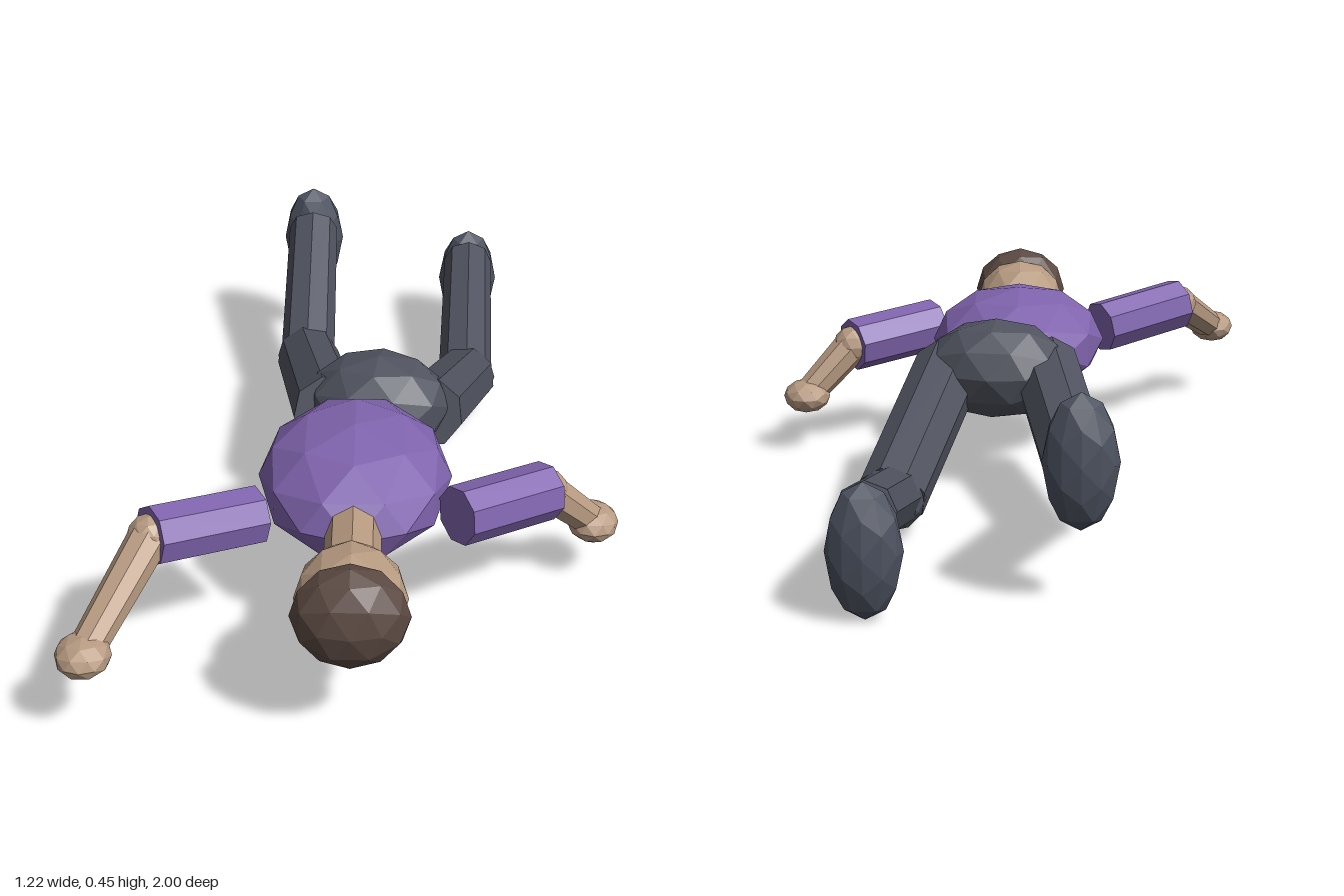
import * as THREE from 'three';

export function createModel() {
  const model = new THREE.Group();
  model.name = 'lyingFigure';

  const paint = (name, color) => {
    const m = new THREE.MeshStandardMaterial({ color, flatShading: true });
    m.name = name;
    return m;
  };
  const shirt = paint('purple shirt', 0x8064ae);
  const trousers = paint('slate trousers', 0x50535f);
  const shoes = paint('slate shoes', 0x4c5260);
  const skin = paint('skin', 0xb89b82);
  const hair = paint('brown hair', 0x5c4a43);
  const dark = paint('dark eyes', 0x2a2422);

  const add = (name, geometry, material) => {
    const mesh = new THREE.Mesh(geometry, material);
    mesh.name = name;
    model.add(mesh);
    return mesh;
  };

  // Faceted ellipsoid; its pole is laid along z unless upright
  const blob = (name, material, center, [rx, ry, rz], upright = false) => {
    const g = new THREE.IcosahedronGeometry(1, 1);
    if (!upright) g.rotateX(Math.PI / 2);
    g.scale(rx, ry, rz);
    const mesh = add(name, g, material);
    mesh.position.set(...center);
    return mesh;
  };

  // Eight-sided limb segment from a to b
  const limb = (name, material, a, b, ra, rb) => {
    const from = new THREE.Vector3(...a);
    const dir = new THREE.Vector3(...b).sub(from);
    const mesh = add(name, new THREE.CylinderGeometry(rb, ra, dir.length(), 8), material);
    mesh.position.copy(from).addScaledVector(dir, 0.5);
    mesh.quaternion.setFromUnitVectors(new THREE.Vector3(0, 1, 0), dir.normalize());
    return mesh;
  };

  // Torso, hips, neck and head, face down
  blob('torso', shirt, [0, 0.285, 0.35], [0.22, 0.135, 0.28]);
  blob('hips', trousers, [0.05, 0.287, 0.015], [0.175, 0.123, 0.138]).rotation.y = -0.17;
  limb('neck', skin, [0, 0.288, 0.56], [0, 0.288, 0.76], 0.062, 0.062);
  blob('head', skin, [0, 0.286, 0.83], [0.12, 0.112, 0.14]);
  blob('hair', hair, [0, 0.303, 0.915], [0.125, 0.116, 0.085]);
  for (const x of [-0.04, 0.04]) {
    blob('eye', dark, [x, 0.186, 0.845], [0.013, 0.01, 0.013]);
  }

  // Arms
  const arms = [
    { side: 'right', shoulder: [-0.217, 0.28, 0.51], elbow: [-0.434, 0.315, 0.65], hand: [-0.55, 0.195, 0.91] },
    { side: 'left', shoulder: [0.227, 0.285, 0.515], elbow: [0.434, 0.262, 0.37], hand: [0.55, 0.14, 0.31] },
  ];
  for (const { side, shoulder, elbow, hand } of arms) {
    limb(side + 'UpperArm', shirt, shoulder, elbow, 0.068, 0.068);
    blob(side + 'Elbow', skin, elbow, [0.05, 0.05, 0.05]);
    limb(side + 'Forearm', skin, elbow, hand, 0.046, 0.038);
    blob(side + 'Hand', skin, hand, [0.06, 0.043, 0.067]);
  }

  // Legs, with the feet hanging toes down
  const legs = [
    { side: 'right', hip: [-0.07, 0.28, 0.05], knee: [-0.14, 0.165, -0.43], ankle: [-0.137, 0.355, -0.82], foot: [-0.137, 0.308, -0.862] },
    { side: 'left', hip: [0.17, 0.275, 0.05], knee: [0.277, 0.1, -0.44], ankle: [0.295, 0.215, -0.91], foot: [0.296, 0.145, -0.942] },
  ];
  for (const { side, hip, knee, ankle, foot } of legs) {
    limb(side + 'Thigh', trousers, hip, knee, 0.085, 0.08);
    blob(side + 'Knee', trousers, knee, [0.078, 0.078, 0.078]);
    limb(side + 'Shin', trousers, knee, ankle, 0.07, 0.065);
    blob(side + 'Shoe', shoes, foot, [0.08, 0.145, 0.058], true);
  }

  return model;
}
